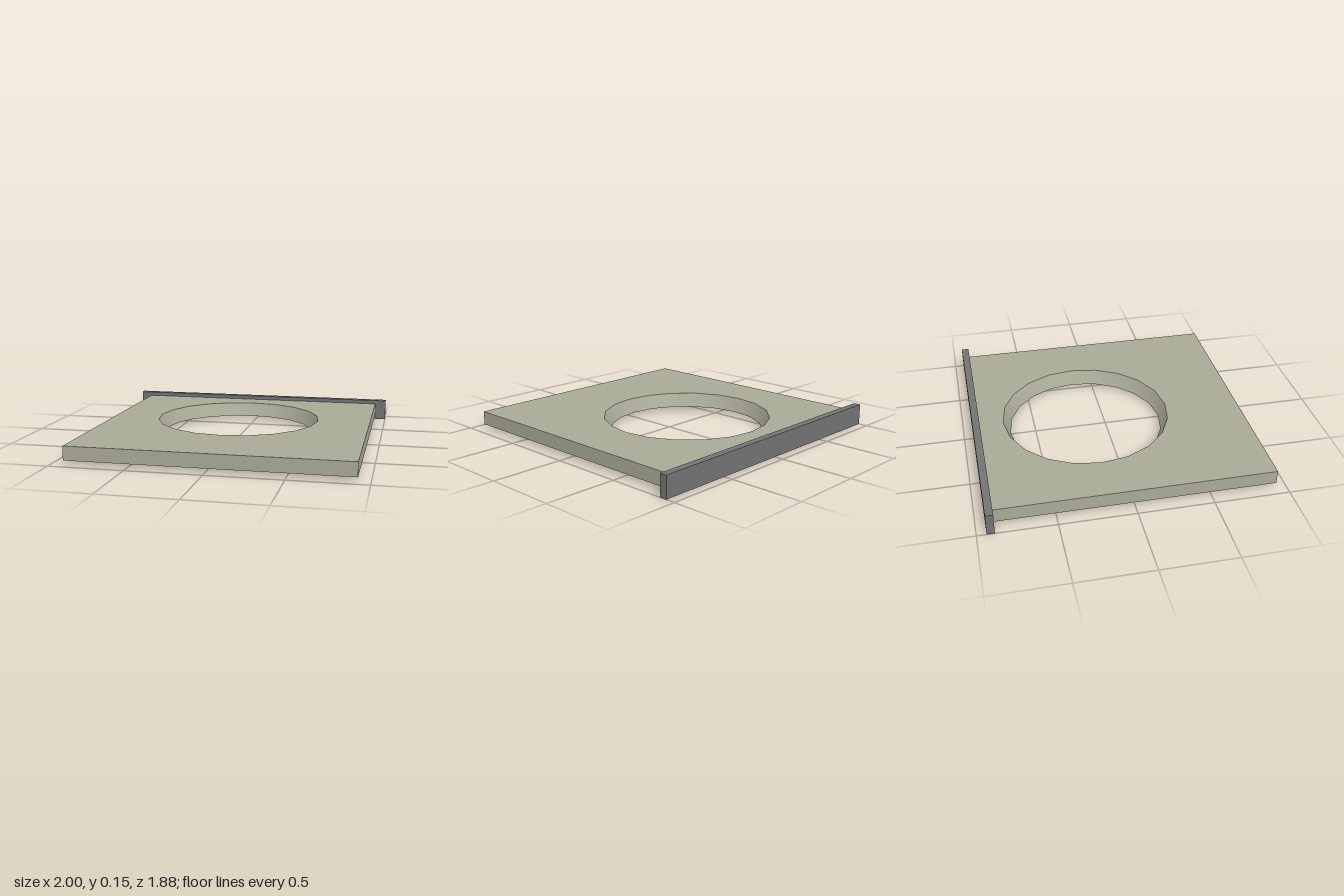
import * as THREE from 'three';
import { toCreasedNormals } from 'three/addons/utils/BufferGeometryUtils.js';

const HOLE = { x: -0.022, z: -0.147, top: 0.578, bottom: 0.531, sides: 20 };
const PLATE = { halfWidth: 0.922, back: -0.888, front: 0.937, low: 0.025, high: 0.119 };

// Flat plate pierced by a 20-sided hole that narrows towards the bottom
function plateGeometry() {
  const { halfWidth: w, back, front, low, high } = PLATE;
  const shape = new THREE.Shape([
    new THREE.Vector2(-w, back), new THREE.Vector2(w, back),
    new THREE.Vector2(w, front), new THREE.Vector2(-w, front),
  ]);
  const rim = [];
  for (let i = 0; i < HOLE.sides; i++) {
    const a = (i / HOLE.sides) * Math.PI * 2;
    rim.push(new THREE.Vector2(HOLE.x + HOLE.top * Math.cos(a), HOLE.z + HOLE.top * Math.sin(a)));
  }
  shape.holes.push(new THREE.Path(rim));

  const geometry = new THREE.ExtrudeGeometry(shape, { depth: high - low, bevelEnabled: false });
  geometry.rotateX(Math.PI / 2).translate(0, high, 0);
  geometry.clearGroups();

  // Pull the lower rim of the hole inwards
  const p = geometry.attributes.position;
  const scale = HOLE.bottom / HOLE.top;
  for (let i = 0; i < p.count; i++) {
    const dx = p.getX(i) - HOLE.x, dz = p.getZ(i) - HOLE.z;
    if (p.getY(i) < (low + high) / 2 && Math.hypot(dx, dz) < HOLE.top + 0.01) {
      p.setX(i, HOLE.x + dx * scale);
      p.setZ(i, HOLE.z + dz * scale);
    }
  }
  return toCreasedNormals(geometry, 0.5);
}

export function createModel() {
  const stone = new THREE.MeshStandardMaterial({ color: 0xa9aa97 });
  stone.name = 'pale olive';
  const grey = new THREE.MeshStandardMaterial({ color: 0x737375 });
  grey.name = 'dark grey';

  const model = new THREE.Group();
  model.name = 'slidingPlate';

  const plate = new THREE.Mesh(plateGeometry(), stone);
  plate.name = 'plate';

  // Upright bar along the back edge
  const bar = new THREE.Mesh(new THREE.BoxGeometry(2, 0.146, 0.05), grey);
  bar.name = 'backBar';
  bar.position.set(0, 0.073, -0.913);

  model.add(plate, bar);
  return model;
}
